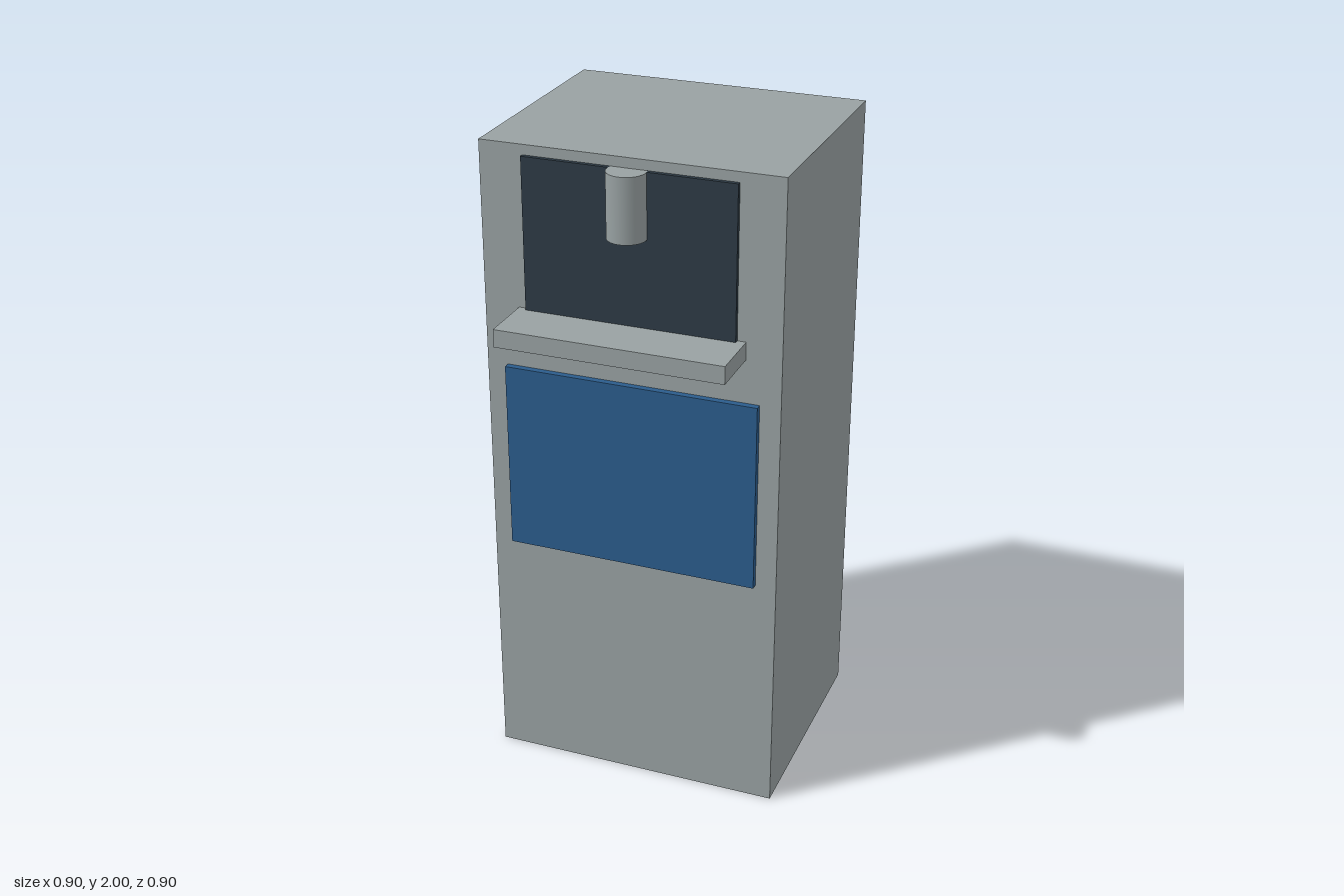
import * as THREE from 'three';

const material = (name, color) => {
  const m = new THREE.MeshStandardMaterial({ color });
  m.name = name;
  return m;
};

export function createModel() {
  const grey = material('grey metal', 0x98a1a2);
  const dark = material('dark recess', 0x2d3a45);
  const blue = material('blue panel', 0x2b5c8c);
  const group = new THREE.Group();
  group.name = 'dispenser';

  const add = (name, geometry, mat, x, y, z) => {
    const mesh = new THREE.Mesh(geometry, mat);
    mesh.name = name;
    mesh.position.set(x, y, z);
    group.add(mesh);
  };

  // Box centred on x, given its width and its y and z ranges
  const box = (name, mat, w, y0, y1, z0, z1) =>
    add(name, new THREE.BoxGeometry(w, y1 - y0, z1 - z0), mat, 0, (y0 + y1) / 2, (z0 + z1) / 2);

  const front = 0.28;
  box('cabinet', grey, 0.896, 0, 2, -0.452, front);
  box('dispensingRecess', dark, 0.632, 1.5, 1.97, front - 0.01, front + 0.013);
  box('dripTray', grey, 0.684, 1.461, 1.515, front - 0.01, 0.452);
  box('frontPanel', blue, 0.77, 0.75, 1.33, front - 0.01, front + 0.02);

  // Spout, partly sunk into the front
  add('spout', new THREE.CylinderGeometry(0.057, 0.057, 0.192, 24), grey, 0, 1.874, 0.3);

  return group;
}
